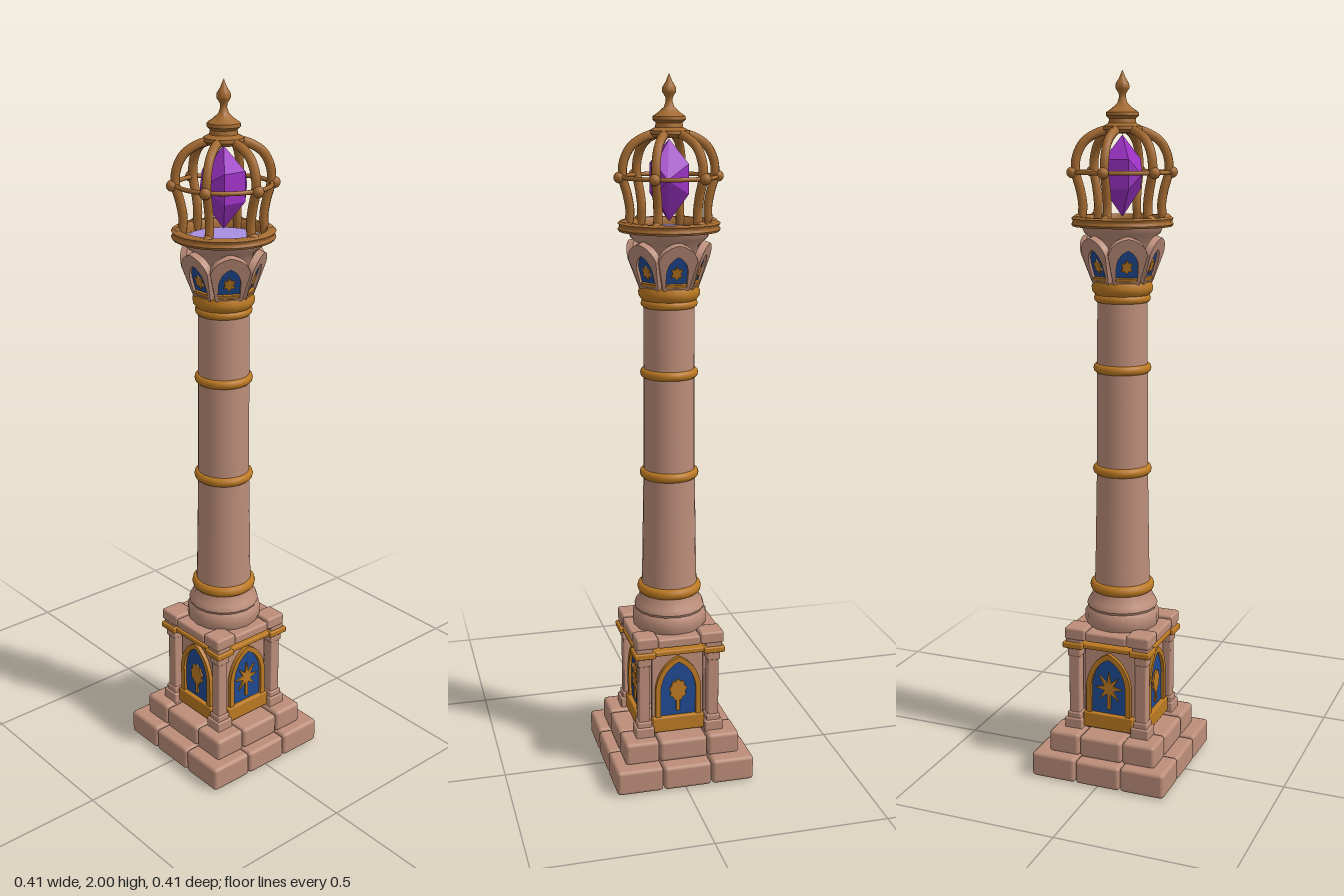
import * as THREE from 'three';
import { toCreasedNormals } from 'three/addons/utils/BufferGeometryUtils.js';
import { RoundedBoxGeometry } from 'three/addons/geometries/RoundedBoxGeometry.js';
import { ConvexGeometry } from 'three/addons/geometries/ConvexGeometry.js';

const material = (name, color, extra = {}) => {
  const m = new THREE.MeshStandardMaterial({ color, ...extra });
  m.name = name;
  return m;
};

export function createModel() {
  const stone = material('stone', 0xbc8d79);
  const gold = material('gold', 0xbd7a22);
  const bronze = material('bronze', 0xa46a30);
  const blue = material('blue', 0x1f4a92);
  const purple = material('crystal purple', 0x9c32c4, { flatShading: true });
  const lilac = material('lilac', 0xa890e2);

  const root = new THREE.Group();
  root.name = 'crystalLantern';

  const add = (parent, name, geo, mat, x = 0, y = 0, z = 0) => {
    const mesh = new THREE.Mesh(geo, mat);
    mesh.name = name;
    mesh.position.set(x, y, z);
    parent.add(mesh);
    return mesh;
  };
  const group = (name, parent = root) => {
    const g = new THREE.Group();
    g.name = name;
    parent.add(g);
    return g;
  };
  // Softly worn block given by its limits
  const block = (parent, name, x0, x1, y0, y1, z0, z1, mat = stone, r = 0.008) =>
    add(parent, name, new RoundedBoxGeometry(x1 - x0, y1 - y0, z1 - z0, 2, r), mat,
      (x0 + x1) / 2, (y0 + y1) / 2, (z0 + z1) / 2);
  const lathe = (parent, name, points, mat, sides = 24) =>
    add(parent, name, toCreasedNormals(new THREE.LatheGeometry(
      points.map(([r, y]) => new THREE.Vector2(r, y)), sides), 0.7), mat);
  const ring = (parent, name, radius, tube, y, mat, stretch = 1) => {
    const geo = new THREE.TorusGeometry(radius, tube, 10, 36).rotateX(Math.PI / 2);
    return add(parent, name, geo.scale(1, stretch, 1), mat, 0, y, 0);
  };

  // Pointed arch outline
  const arch = (w, y0, ySpring, yTop, Type = THREE.Shape) => {
    const s = new Type();
    const mid = ySpring + (yTop - ySpring) * 0.75;
    s.moveTo(-w, y0).lineTo(w, y0).lineTo(w, ySpring);
    s.quadraticCurveTo(w * 0.85, mid, 0, yTop);
    s.quadraticCurveTo(-w * 0.85, mid, -w, ySpring);
    return s;
  };
  const plate = (shape, depth) =>
    new THREE.ExtrudeGeometry(shape, { depth, bevelEnabled: false, curveSegments: 8 });
  // Star or rosette outline with alternating radii
  const star = (points, outer, inner, stretch = 1) => {
    const pts = [];
    for (let i = 0; i < points * 2; i++) {
      const a = (i * Math.PI) / points, r = i % 2 ? inner : outer;
      pts.push(new THREE.Vector2(Math.sin(a) * r, Math.cos(a) * r * stretch));
    }
    return new THREE.Shape(pts);
  };

  // Two tiers of stone blocks, three by three
  const tier = (name, xs, zs, y0, y1) => {
    const g = group(name);
    for (let i = 0; i < 3; i++) for (let j = 0; j < 3; j++) {
      const inset = i === 1 || j === 1 ? 0.003 : 0;
      block(g, 'baseBlock', xs[i] + 0.001, xs[i + 1] - 0.001, y0, y1 - inset,
        zs[j] + 0.001, zs[j + 1] - 0.001, stone, 0.011);
    }
  };
  tier('lowerStep', [-0.205, -0.07, 0.068, 0.205], [-0.205, -0.078, 0.066, 0.204], 0, 0.074);
  tier('upperStep', [-0.165, -0.064, 0.068, 0.163], [-0.172, -0.076, 0.068, 0.17], 0.068, 0.136);

  // Hollow pedestal: four wall panels, each with an arched window
  const pedestal = group('pedestal');
  for (let k = 0; k < 4; k++) {
    const side = group('pedestalSide', pedestal);
    side.rotation.y = (k * Math.PI) / 2;
    block(side, 'wallPanel', -0.077, 0.077, 0.13, 0.39, 0.084, 0.1, stone, 0.003);
    const frame = arch(0.068, 0.18, 0.275, 0.372);
    frame.holes.push(arch(0.053, 0.182, 0.272, 0.355, THREE.Path));
    add(side, 'windowFrame', plate(frame, 0.014), gold, 0, 0, 0.098);
    add(side, 'windowPane', plate(arch(0.055, 0.18, 0.272, 0.359), 0.005), blue, 0, 0, 0.098);
    block(side, 'windowSill', -0.077, 0.077, 0.14, 0.186, 0.09, 0.116, gold, 0.004);
    const emblem = k % 2 ? star(9, 0.027, 0.022, 1.3) : star(8, 0.042, 0.015, 1.2);
    add(side, 'windowEmblem', plate(emblem, 0.005), gold, 0, 0.265, 0.103);
    block(side, 'emblemStem', -0.005, 0.005, 0.2, 0.25, 0.102, 0.108, gold, 0.001);
    block(side, 'goldRail', -0.1, 0.1, 0.384, 0.399, 0.084, 0.124, gold, 0.004);
  }

  // Corner posts with feet, capitals and gold trim
  for (const sx of [-1, 1]) for (const sz of [-1, 1]) {
    const post = group('cornerPost', pedestal);
    post.position.set(sx * 0.103, 0, sz * 0.103);
    const slice = (name, h, y0, y1, mat = stone) =>
      block(post, name, -h, h, y0, y1, -h, h, mat, 0.004);
    slice('postFoot', 0.027, 0.13, 0.165);
    slice('postCollar', 0.021, 0.16, 0.182);
    slice('postShaft', 0.0165, 0.175, 0.368);
    slice('postCapital', 0.02, 0.355, 0.385);
    slice('postTrim', 0.031, 0.382, 0.4, gold);
    slice('postBlock', 0.024, 0.397, 0.414);
  }

  // Stone slab above the pedestal
  const slab = group('slab');
  const cut = [-0.132, -0.062, 0.064, 0.128];
  for (let i = 0; i < 3; i++) for (let j = 0; j < 3; j++)
    block(slab, 'slabBlock', cut[i], cut[i + 1], 0.409, i === 1 || j === 1 ? 0.438 : 0.445,
      cut[j], cut[j + 1], stone, 0.007);

  // Column
  lathe(root, 'columnFoot', [[0, 0.43], [0.1, 0.43], [0.108, 0.445], [0.108, 0.475], [0.1, 0.488],
    [0.103, 0.495], [0.098, 0.51], [0.088, 0.523], [0.084, 0.55], [0, 0.55]], stone, 16);
  lathe(root, 'columnShaft', [[0.082, 0.54], [0.079, 0.6], [0.0735, 0.9], [0.07, 1.45]], stone);
  for (const [y, r, t] of [[0.553, 0.08, 0.013], [0.9, 0.073, 0.011], [1.192, 0.071, 0.0105],
    [1.388, 0.07, 0.009]]) ring(root, 'columnBand', r, t, y, gold, 1.25);
  lathe(root, 'capitalBand', [[0.068, 1.395], [0.076, 1.398], [0.084, 1.408], [0.086, 1.42],
    [0.081, 1.434], [0.066, 1.44]], gold);

  // Flared capital with six arched petals, carrying the glowing floor
  lathe(root, 'capitalCore', [[0.06, 1.43], [0.061, 1.47], [0.07, 1.51], [0.084, 1.55],
    [0.106, 1.568], [0.112, 1.584], [0.09, 1.588], [0, 1.588]], stone);
  add(root, 'glowDisc', new THREE.CylinderGeometry(0.091, 0.091, 0.006, 24), lilac, 0, 1.59, 0);
  for (let k = 0; k < 6; k++) {
    const turn = group('capitalPetal');
    turn.rotation.y = Math.PI / 6 + (k * Math.PI) / 3;
    const petal = group('petal', turn);
    petal.position.set(0, 1.437, 0.057);
    petal.rotation.x = 0.31;
    const frame = new THREE.Shape();
    frame.moveTo(-0.036, 0).lineTo(0.036, 0).lineTo(0.054, 0.085);
    frame.quadraticCurveTo(0.046, 0.122, 0, 0.132).quadraticCurveTo(-0.046, 0.122, -0.054, 0.085);
    frame.holes.push(arch(0.03, 0.008, 0.055, 0.098, THREE.Path));
    add(petal, 'petalFrame', plate(frame, 0.02), stone);
    add(petal, 'petalPane', plate(arch(0.032, 0.006, 0.055, 0.1), 0.006), blue, 0, 0, 0.006);
    add(petal, 'petalEmblem', plate(star(6, 0.018, 0.011, 1.2), 0.004), gold, 0, 0.048, 0.012);
    block(petal, 'petalSill', -0.03, 0.03, 0.007, 0.017, 0.006, 0.019, gold, 0.002);
  }

  // Gallery ring and middle ring of the lantern
  const cage = group('cage');
  lathe(cage, 'galleryRing', [[0.112, 1.585], [0.137, 1.585], [0.141, 1.591], [0.137, 1.597],
    [0.137, 1.602], [0.141, 1.607], [0.134, 1.612], [0.118, 1.612], [0.112, 1.604],
    [0.112, 1.585]], bronze, 30);
  ring(cage, 'middleRing', 0.128, 0.006, 1.73, bronze);

  // Six curved ribs with knobs
  const ribCurve = new THREE.CatmullRomCurve3([[0.115, 1.59], [0.109, 1.64],
    [0.116, 1.685], [0.128, 1.73], [0.126, 1.77], [0.106, 1.81], [0.072, 1.833], [0.035, 1.845]]
    .map(([r, y]) => new THREE.Vector3(0, y, r)));
  const ribGeo = new THREE.TubeGeometry(ribCurve, 28, 0.0125, 8);
  for (let k = 0; k < 6; k++) {
    const rib = group('rib', cage);
    rib.rotation.y = (k * Math.PI) / 3;
    add(rib, 'ribBar', ribGeo, bronze);
    add(rib, 'ribKnob', new THREE.SphereGeometry(0.0155, 12, 8), bronze, 0, 1.73, 0.138);
    add(rib, 'ribFoot', new THREE.SphereGeometry(0.016, 10, 8), bronze, 0, 1.603, 0.122);
  }

  // Cap and pointed finial
  lathe(cage, 'finial', [[0, 1.832], [0.045, 1.834], [0.055, 1.843], [0.054, 1.852], [0.038, 1.86],
    [0.036, 1.872], [0.045, 1.88], [0.044, 1.889], [0.028, 1.9], [0.014, 1.913], [0.009, 1.928],
    [0.01, 1.938], [0.019, 1.952], [0.018, 1.964], [0.009, 1.978], [0, 2]], bronze, 20);

  // Faceted crystal
  const crystal = [[0, 1.83, 0], [0, 1.61, 0], [0.065, 1.725, 0.02], [-0.065, 1.725, -0.02]];
  for (const sx of [-1, 1]) for (const sz of [-1, 1]) for (const y of [1.685, 1.765])
    crystal.push([sx * 0.036, y, sz * 0.046]);
  add(root, 'crystal', new ConvexGeometry(crystal.map((p) => new THREE.Vector3(...p))), purple);

  return root;
}
